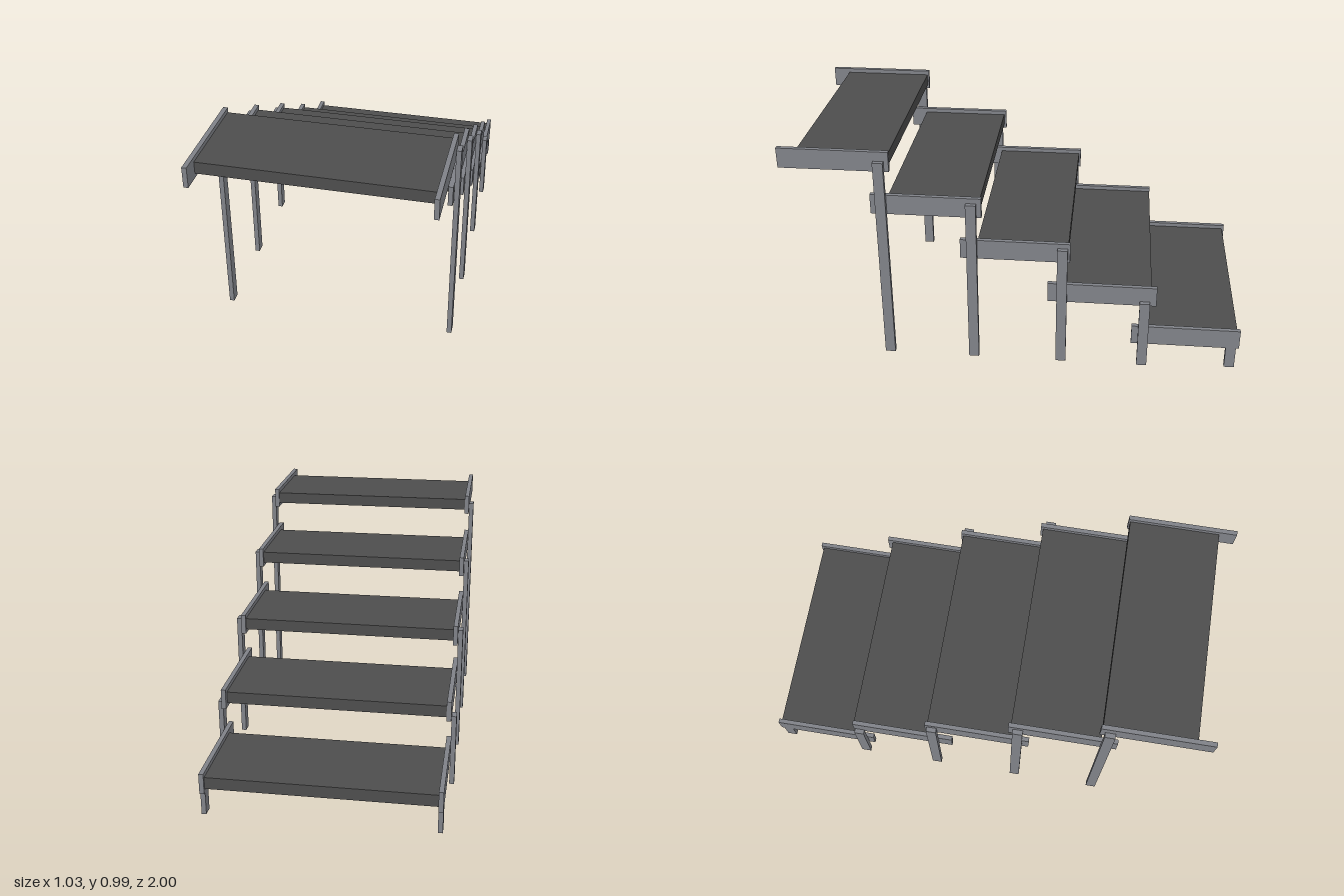
import * as THREE from 'three';

const frameGrey = new THREE.MeshStandardMaterial({ name: 'frame grey', color: 0x808288 });
const deckGrey = new THREE.MeshStandardMaterial({ name: 'deck dark grey', color: 0x4d4d4d });

// Axis-aligned box from its limits
function box(name, material, [x0, x1], [y0, y1], [z0, z1]) {
  const mesh = new THREE.Mesh(new THREE.BoxGeometry(x1 - x0, y1 - y0, z1 - z0), material);
  mesh.position.set((x0 + x1) / 2, (y0 + y1) / 2, (z0 + z1) / 2);
  mesh.name = name;
  return mesh;
}

const RAIL_LENGTH = 0.477, DECK_DEPTH = 0.395, LEG_DEPTH = 0.045;

// Steps from lowest to highest; the second step's rails are slightly staggered
const steps = [
  { railLeft: -1.0, railRight: -1.0, deck: -0.99, leg: -0.987, legTop: 0.102 },
  { railLeft: -0.625, railRight: -0.603, deck: -0.602, leg: -0.597, legTop: 0.323 },
  { railLeft: -0.244, railRight: -0.244, deck: -0.235, leg: -0.234, legTop: 0.57 },
  { railLeft: 0.137, railRight: 0.137, deck: 0.147, leg: 0.158, legTop: 0.768 },
  { railLeft: 0.523, railRight: 0.523, deck: 0.53, leg: 0.543, legTop: 0.948 },
];

export function createModel() {
  const model = new THREE.Group();
  model.name = 'openStaircase';

  steps.forEach((s, i) => {
    const step = new THREE.Group();
    step.name = `step${i + 1}`;
    const y = 0.102 + i * 0.1995;

    // Tread panel between the rails
    step.add(box('deck', deckGrey, [-0.474, 0.474], [y + 0.019, y + 0.071], [s.deck, s.deck + DECK_DEPTH]));

    for (const side of [1, -1]) {
      const label = side > 0 ? 'left' : 'right';
      const span = (a, b) => (side > 0 ? [a, b] : [-b, -a]);
      const railBack = side > 0 ? s.railLeft : s.railRight;
      step.add(box(`${label}Rail`, frameGrey, span(0.474, 0.494), [y, y + 0.09], [railBack, railBack + RAIL_LENGTH]));
      // The lowest legs stand under the rails, the others outside them
      const legX = i === 0 ? span(0.474, 0.494) : span(0.495, 0.516);
      step.add(box(`${label}Leg`, frameGrey, legX, [0, s.legTop], [s.leg, s.leg + LEG_DEPTH]));
    }
    model.add(step);
  });
  return model;
}
